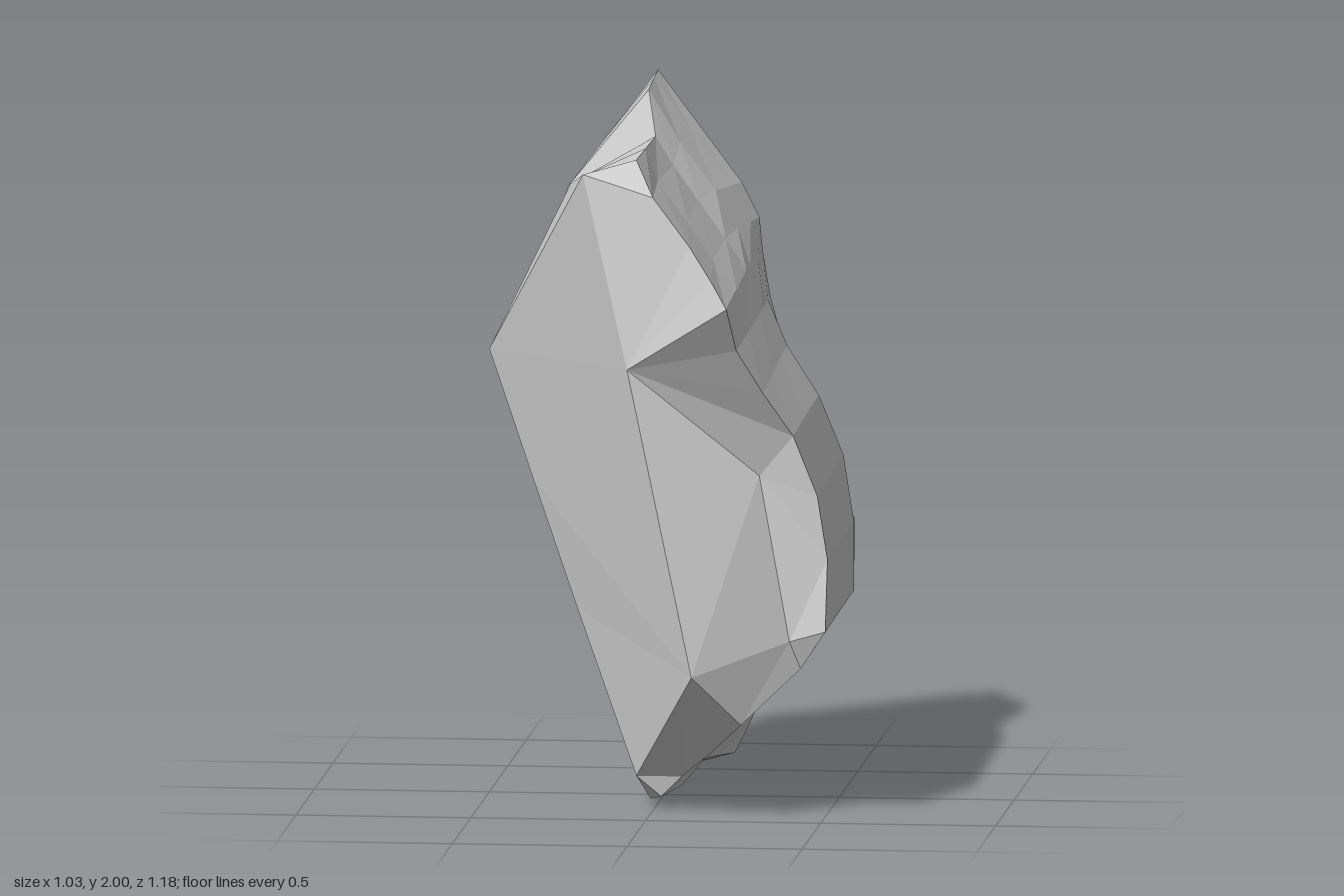
import * as THREE from 'three';

// Outline points run clockwise from the crest, down the layered side, under the foot and up the left flank.
const REAR_Z = -0.59;
const rear = [
  [-0.08, 2], [0.04, 1.84], [0.16, 1.68], [0.21, 1.58], [0.22, 1.48], [0.24, 1.36], [0.27, 1.22],
  [0.33, 1.08], [0.37, 0.93], [0.39, 0.72], [0.39, 0.5], [0.31, 0.36], [0.22, 0.21], [0.18, 0.12],
  [0.14, 0.04], [0.09, 0.03], [-0.13, 0.57], [-0.18, 0.77], [-0.31, 1.03], [-0.39, 1.29], [-0.17, 1.88],
];
const middle = [
  [-0.05, 1.86], [0, 1.78], [0.07, 1.68], [0.15, 1.57], [0.21, 1.48], [0.25, 1.36], [0.31, 1.24],
  [0.4, 1.1], [0.47, 0.93], [0.5, 0.74], [0.5, 0.54], [0.42, 0.43], [0.27, 0.28], [0.14, 0.14],
  [0.06, 0.05], [-0.04, 0.01], [-0.14, 0.32], [-0.26, 0.63], [-0.39, 0.95], [-0.52, 1.25], [-0.293, 1.72],
];
const rim = [
  [-0.05, 1.87, 0.28], [0.01, 1.78, 0.4], [0.12, 1.65, 0.46], [0.19, 1.56, 0.53], [0.24, 1.49, 0.59],
  [0.26, 1.36, 0.51], [0.33, 1.23, 0.45], [0.41, 1.1, 0.39], [0.48, 0.93, 0.4], [0.51, 0.75, 0.41],
  [0.51, 0.55, 0.47], [0.43, 0.43, 0.38], [0.27, 0.28, 0.48], [0.17, 0.18, 0.38], [0.08, 0.1, 0.28],
  [0.02, 0.04, 0.27], [-0.05, 0.1, 0.28], [-0.24, 0.55, 0.08], [-0.38, 0.9, -0.05],
  [-0.52, 1.25, -0.19], [-0.2, 1.83, 0.31],
];

// Flat-shaded mesh from a list of corner points
function facetMesh(name, points, material) {
  const geometry = new THREE.BufferGeometry().setFromPoints(points);
  geometry.computeVertexNormals();
  const mesh = new THREE.Mesh(geometry, material);
  mesh.name = name;
  return mesh;
}

export function createModel() {
  const group = new THREE.Group();
  group.name = 'rock';
  const material = new THREE.MeshStandardMaterial({ color: 0xcccccc, flatShading: true });
  const atZ = (outline, z) => outline.map(([x, y]) => new THREE.Vector3(x, y, z));
  const between = (a, b, t) => a.map((p, i) => p.clone().lerp(b[i], t));

  const back = atZ(rear, REAR_Z);
  const front = rim.map((p) => new THREE.Vector3(...p));
  const mid = atZ(middle, -0.24);
  mid[19].copy(front[19]); // left corner shared with the broken front

  // Shoulder: raised crest behind the notch, and the edge of the recessed rear
  const shoulder = atZ(middle, -0.34);
  shoulder[0].set(-0.08, 1.98, -0.34);
  shoulder[1].set(0.01, 1.83, -0.34);
  shoulder[2].set(0.11, 1.69, -0.36);
  shoulder[3].set(0.17, 1.58, -0.38);
  for (let i = 6; i <= 15; i++) shoulder[i].z = -0.4;
  shoulder[19].set(-0.47, 1.265, -0.34);
  shoulder[20].set(-0.31, 1.7, -0.34);

  // Small lump on the recessed rear of the layered side
  const lump = between(back, shoulder, 0.4);
  lump[9].x = 0.49;

  // Hollow along the upper layers and rounded foot
  const forward = between(mid, front, 0.5);
  for (const i of [1, 2, 3]) forward[i].x -= 0.015;
  forward[14].set(0.06, 0.045, 0.08);
  forward[15].set(-0.03, 0.005, 0.08);

  // Layered sides: skin joining the successive outlines
  const rows = [back, lump, shoulder, mid, forward, front];
  const sides = [];
  for (let r = 0; r < rows.length - 1; r++) {
    for (let i = 0; i < rear.length; i++) {
      const j = (i + 1) % rear.length;
      const [a, b, c, d] = [rows[r][i], rows[r + 1][i], rows[r + 1][j], rows[r][j]];
      sides.push(a, b, c, a, c, d);
    }
  }
  group.add(facetMesh('layeredSides', sides, material));

  // Flat back, wound to face -z
  const outline = rear.map(([x, y]) => new THREE.Vector2(x, y));
  const backFace = [];
  for (const [a, b, c] of THREE.ShapeUtils.triangulateShape(outline, [])) {
    const ccw = THREE.ShapeUtils.area([outline[a], outline[b], outline[c]]) > 0;
    backFace.push(back[a], ...(ccw ? [back[c], back[b]] : [back[b], back[c]]));
  }
  group.add(facetMesh('flatBack', backFace, material));

  // Broken front: rim points joined to four inner corners
  const B = 21, C = 22, D = 23, E = 24;
  const corners = [
    ...front,
    new THREE.Vector3(-0.06, 1.29, 0.44),
    new THREE.Vector3(0.14, 0.43, 0.59),
    new THREE.Vector3(0.31, 0.98, 0.36),
    new THREE.Vector3(0.4, 0.51, 0.4),
  ];
  const faces = [
    [20, 19, B], [19, C, B], [19, 18, C], [18, 17, C], [17, 16, C], [16, 14, C], [16, 15, 14],
    [14, 13, C], [13, 12, C], [12, E, C], [12, 11, E], [11, 10, E], [10, 9, E], [9, D, E],
    [9, 8, D], [8, 7, D], [E, D, C], [D, B, C], [7, B, D], [7, 6, B], [6, 5, B], [5, 4, B],
    [4, 3, B], [3, 2, B], [2, 1, B], [1, 20, B], [1, 0, 20],
  ];
  group.add(facetMesh('brokenFront', faces.flat().map((i) => corners[i]), material));

  return group;
}
